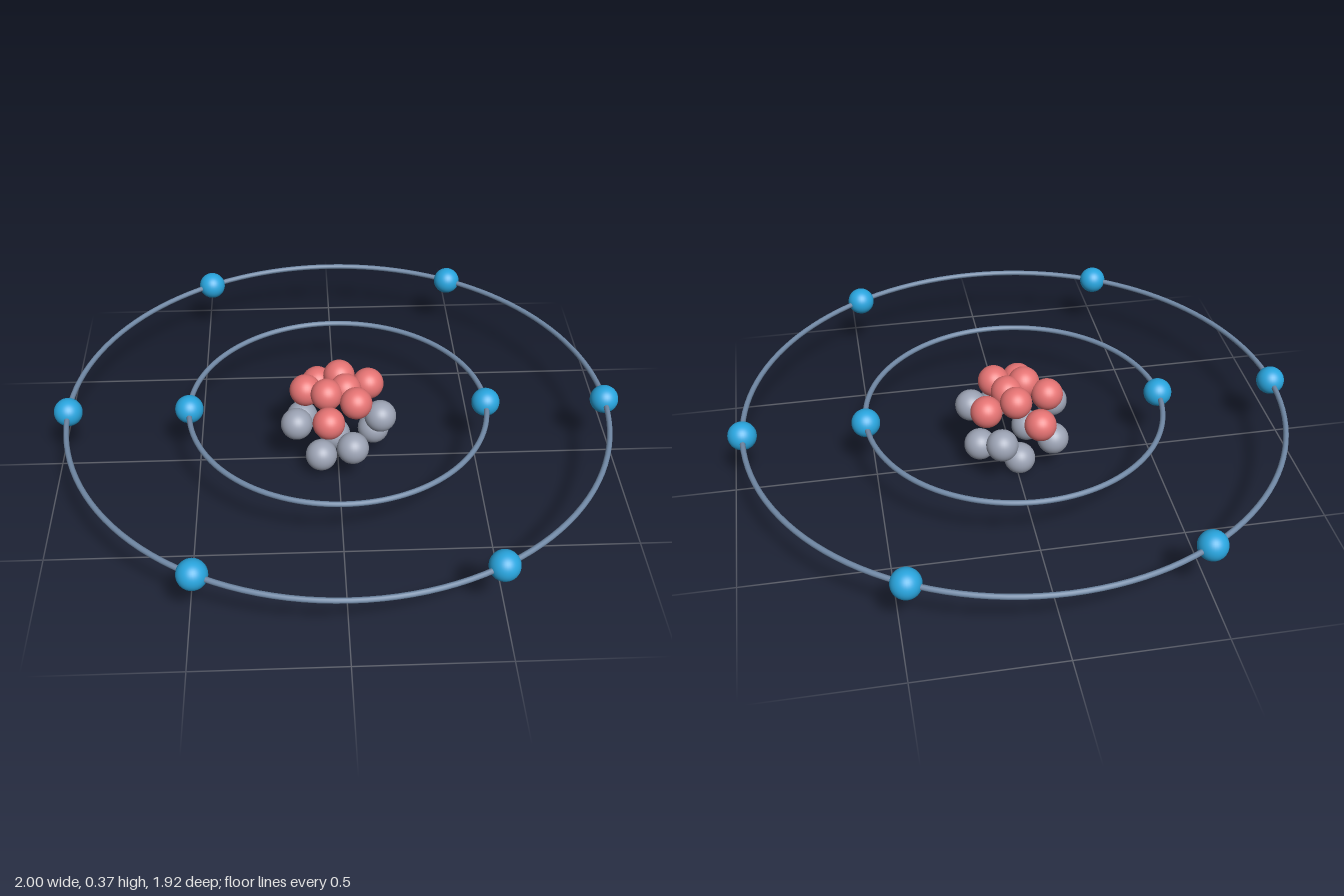
import * as THREE from 'three';

const CENTER_Y = 0.235;
const NUCLEON_RADIUS = 0.056;
const NUCLEUS_RADIUS = 0.19;
const ELECTRON_RADIUS = 0.05;
const ORBITS = [{ radius: 0.525, electrons: 2 }, { radius: 0.95, electrons: 6 }];

export function createModel() {
  const model = new THREE.Group();
  model.name = 'atom';
  const material = (color) => new THREE.MeshStandardMaterial({ color });
  const red = material(0xe57373);
  const grey = material(0x9ca3b4);
  const blue = material(0x29a5de);
  const steel = material(0x7088a5);

  const add = (parent, name, geometry, mat, x = 0, y = 0, z = 0) => {
    const mesh = new THREE.Mesh(geometry, mat);
    mesh.name = name;
    mesh.position.set(x, y, z);
    parent.add(mesh);
  };

  // Nucleus: a golden-angle spiral, protons above and neutrons below
  const nucleus = new THREE.Group();
  nucleus.name = 'nucleus';
  nucleus.position.y = CENTER_Y;
  model.add(nucleus);
  const nucleon = new THREE.SphereGeometry(NUCLEON_RADIUS, 32, 24);
  const count = 16;
  const goldenAngle = Math.PI * (3 - Math.sqrt(5));
  for (let i = 0; i < count; i++) {
    const height = 1 - (2 * (i + 0.5)) / count;
    const r = NUCLEUS_RADIUS * Math.cbrt((i + 1) / count);
    const ring = r * Math.sqrt(1 - height * height);
    const angle = i * goldenAngle;
    const proton = i < count / 2;
    add(nucleus, proton ? 'proton' : 'neutron', nucleon, proton ? red : grey,
      ring * Math.cos(angle), r * height, ring * Math.sin(angle));
  }

  // Orbits: flat rings with evenly spaced electrons
  const electron = new THREE.SphereGeometry(ELECTRON_RADIUS, 32, 24);
  for (const { radius, electrons } of ORBITS) {
    const shell = new THREE.Group();
    shell.name = 'electronShell';
    shell.position.y = CENTER_Y;
    model.add(shell);
    const ring = new THREE.TorusGeometry(radius, 0.0095, 12, 128).rotateX(Math.PI / 2);
    add(shell, 'orbitRing', ring, steel);
    for (let i = 0; i < electrons; i++) {
      const angle = (i / electrons) * Math.PI * 2;
      add(shell, 'electron', electron, blue, radius * Math.cos(angle), 0, radius * Math.sin(angle));
    }
  }
  return model;
}
